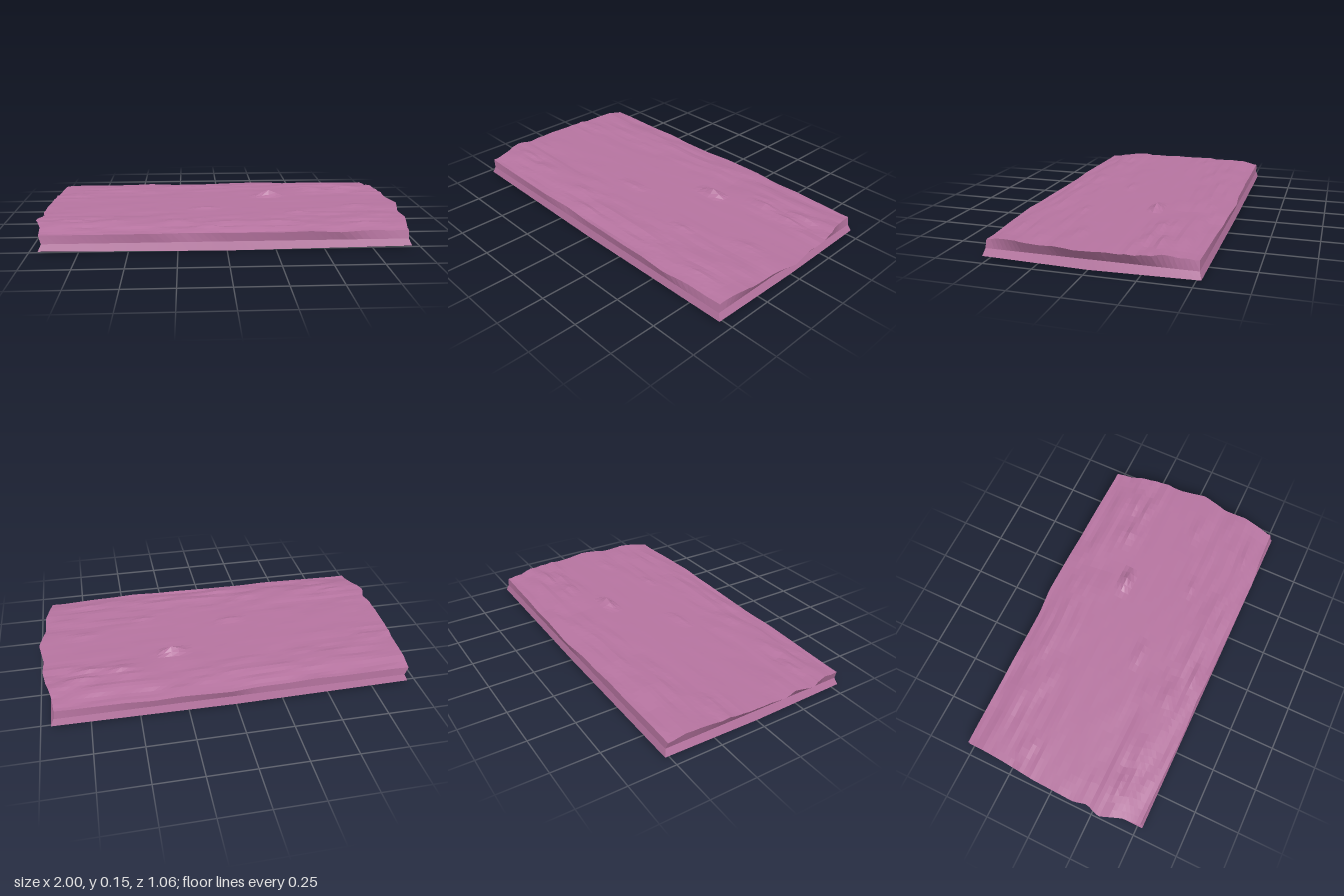
import * as THREE from 'three';

const NX = 48, NZ = 44; // grid cells across the weathered top

// Straight-line interpolation through [position, value] points
function along(points, t) {
  if (t <= points[0][0]) return points[0][1];
  for (let i = 1; i < points.length; i++) {
    const [a, va] = points[i - 1], [b, vb] = points[i];
    if (t <= b) return va + (vb - va) * (t - a) / (b - a);
  }
  return points[points.length - 1][1];
}

// Ragged outline of the slab: x along the ends, z along the long edges
const leftEnd = [[-0.52, -0.95], [-0.3, -0.962], [-0.1, -0.98], [0.15, -0.988], [0.22, -0.97], [0.3, -1], [0.42, -0.955], [0.52, -0.945]];
const rightEnd = [[-0.52, 0.925], [-0.42, 0.935], [-0.3, 0.965], [-0.2, 0.98], [-0.1, 0.975], [0.05, 1], [0.2, 0.965], [0.33, 0.965], [0.5, 0.93]];
const backEdge = [[-0.95, -0.515], [-0.1, -0.52], [0.05, -0.535], [0.5, -0.525], [0.92, -0.515]];
const frontEdge = [[-0.94, 0.512], [-0.4, 0.523], [-0.2, 0.515], [0, 0.523], [0.6, 0.53], [0.75, 0.515], [0.92, 0.51]];

// Small raised chips: x, z, height, half length, half depth
const chips = [
  [0.28, -0.14, 0.042, 0.09, 0.05], [0.55, -0.31, 0.016, 0.11, 0.05], [0.57, -0.25, 0.018, 0.1, 0.05],
  [0.78, -0.3, 0.016, 0.1, 0.05], [0.74, -0.23, 0.016, 0.12, 0.05], [-0.1, 0.12, 0.012, 0.1, 0.05],
  [0.75, 0.1, 0.01, 0.1, 0.05], [-0.8, 0.33, 0.014, 0.1, 0.05], [0.4, 0.22, 0.01, 0.08, 0.04],
  [-0.24, 0.36, 0.012, 0.1, 0.05], [-0.82, -0.18, 0.008, 0.08, 0.04], [-0.1, 0.45, 0.012, 0.1, 0.05],
  [-0.1, -0.28, 0.006, 0.15, 0.05], [-0.65, 0.36, 0.01, 0.15, 0.06],
];

function hash(i, j) {
  const s = Math.sin(i * 127.1 + j * 311.7) * 43758.5453;
  return s - Math.floor(s);
}

// Grain: noise stretched along x
function grain(x, z) {
  const u = x * 7 + 20, v = z * 26 + 30;
  const i = Math.floor(u), j = Math.floor(v), f = u - i, g = v - j;
  const near = hash(i, j) * (1 - f) + hash(i + 1, j) * f;
  const far = hash(i, j + 1) * (1 - f) + hash(i + 1, j + 1) * f;
  return near * (1 - g) + far * g - 0.5;
}

function topHeight(x, z) {
  const edge = THREE.MathUtils.smoothstep(Math.abs(z), 0.38, 0.53);
  const rough = 0.15 + 0.85 * THREE.MathUtils.smoothstep(Math.abs(z) + 0.2 * Math.abs(x), 0.18, 0.42);
  let y = 0.111 - 0.015 * edge + 0.016 * rough * grain(x, z);
  for (const [cx, cz, h, rx, rz] of chips) {
    const dz = z - cz;
    const depth = dz > 0 ? 0.026 : rz; // steep on the front side
    y += h * Math.max(0, 1 - Math.abs(x - cx) / rx) * Math.max(0, 1 - Math.abs(dz) / depth);
  }
  return y;
}

function topPoint(u, v) {
  const z0 = v * 0.52, x0 = u * 0.95;
  const x = THREE.MathUtils.lerp(along(leftEnd, z0), along(rightEnd, z0), (u + 1) / 2);
  const z = THREE.MathUtils.lerp(along(backEdge, x0), along(frontEdge, x0), (v + 1) / 2);
  return [x, topHeight(x, z), z];
}

// Border in order: front, right, back, left
function borderLoop() {
  const loop = [];
  for (let i = 0; i < NX; i++) loop.push([-1 + 2 * i / NX, 1]);
  for (let i = 0; i < NZ; i++) loop.push([1, 1 - 2 * i / NZ]);
  for (let i = 0; i < NX; i++) loop.push([1 - 2 * i / NX, -1]);
  for (let i = 0; i < NZ; i++) loop.push([-1, -1 + 2 * i / NZ]);
  return loop;
}

function fromTriangles(positions, index) {
  const geometry = new THREE.BufferGeometry();
  geometry.setAttribute('position', new THREE.Float32BufferAttribute(positions, 3));
  geometry.setIndex(index);
  geometry.computeVertexNormals();
  return geometry;
}

// Underside dips gently from the corners towards the middle
const bottomPoint = ([u, v]) => [u * 0.948, 0.005 + 0.01 * Math.abs(u * v), v * 0.528];
const waistPoint = ([u, v]) => [u * 0.932, 0.05, v * 0.517];

export function createModel() {
  const group = new THREE.Group();
  group.name = 'stoneSlab';
  const material = new THREE.MeshStandardMaterial({ color: 0xb5739f, flatShading: true });
  const add = (name, geometry) => {
    const mesh = new THREE.Mesh(geometry, material);
    mesh.name = name;
    group.add(mesh);
  };

  // Weathered top
  const top = new THREE.PlaneGeometry(2, 2, NX, NZ).rotateX(-Math.PI / 2);
  const p = top.attributes.position;
  for (let i = 0; i < p.count; i++) p.setXYZ(i, ...topPoint(p.getX(i), p.getZ(i)));
  top.computeVertexNormals();
  add('weatheredTop', top);

  // Sides, pinched slightly at mid height
  const loop = borderLoop(), n = loop.length;
  const rings = [loop.map(([u, v]) => topPoint(u, v)), loop.map(waistPoint), loop.map(bottomPoint)];
  const sideIndex = [];
  for (let r = 0; r < 2; r++) {
    for (let i = 0; i < n; i++) {
      const a = r * n + i, b = r * n + (i + 1) % n;
      sideIndex.push(a, a + n, b + n, a, b + n, b);
    }
  }
  add('sides', fromTriangles(rings.flat(2), sideIndex));

  // Underside
  const fan = [];
  for (let i = 0; i < n; i++) fan.push(n, (i + 1) % n, i);
  add('underside', fromTriangles([...rings[2].flat(), 0, 0, -0.1], fan));

  return group;
}
